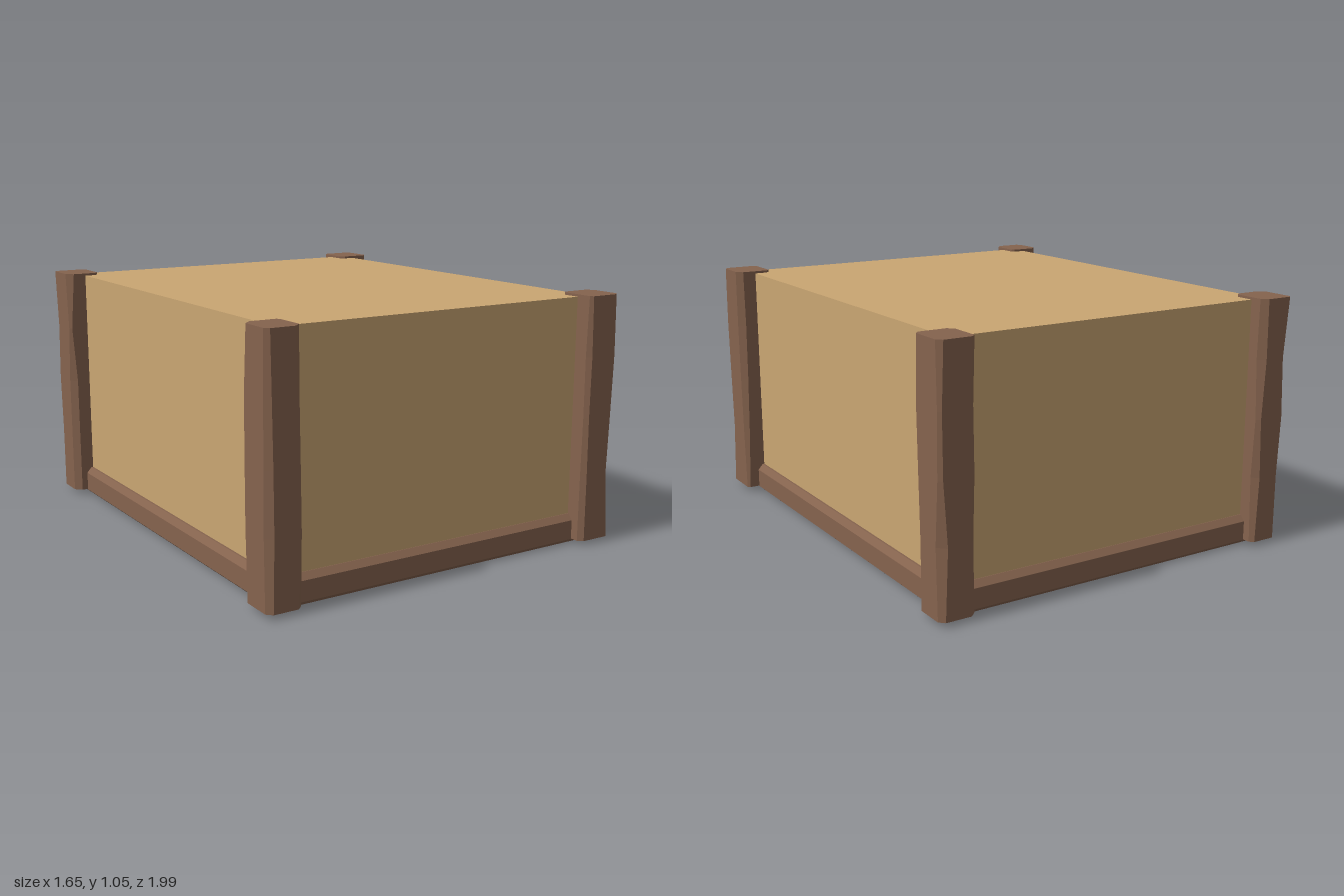
import * as THREE from 'three';

// Flat-shaded solid through stacked rings of [x, y, z] points, capped at both ends
function loft(rings) {
  const pos = [];
  const tri = (...pts) => pts.forEach((p) => pos.push(...p));
  const n = rings[0].length;
  const middle = (r) => [0, 1, 2].map((k) => r.reduce((s, p) => s + p[k], 0) / n);
  const first = rings[0], last = rings[rings.length - 1];
  const low = middle(first), high = middle(last);
  for (let j = 0; j < n; j++) {
    const k = (j + 1) % n;
    for (let i = 0; i < rings.length - 1; i++) {
      const a = rings[i], b = rings[i + 1];
      tri(a[j], b[j], a[k]);
      tri(a[k], b[j], b[k]);
    }
    tri(low, first[j], first[k]);
    tri(high, last[k], last[j]);
  }
  const g = new THREE.BufferGeometry();
  g.setAttribute('position', new THREE.Float32BufferAttribute(pos, 3));
  g.computeVertexNormals();
  return g;
}

// Rectangle with its four corners cut; cuts[i] is the cut at corner i
function cutRect(x0, x1, z0, z1, y, cuts) {
  const [a, b, c, d] = cuts;
  return [
    [x1, y, z1 - a], [x1 - a, y, z1], [x0 + b, y, z1], [x0, y, z1 - b],
    [x0, y, z0 + c], [x0 + c, y, z0], [x1 - d, y, z0], [x1, y, z0 + d],
  ];
}

export function createModel() {
  const group = new THREE.Group();
  const wood = new THREE.MeshStandardMaterial({ color: 0x85634e });
  wood.name = 'brown wood';
  const tan = new THREE.MeshStandardMaterial({ color: 0xcaa672 });
  tan.name = 'tan panel';
  const add = (name, geometry, material) => {
    const mesh = new THREE.Mesh(geometry, material);
    mesh.name = name;
    group.add(mesh);
    return mesh;
  };

  let seed = 11;
  const rand = () => (seed = (seed * 16807) % 2147483647) / 2147483647;

  // Main box
  const box = add('panelBox', new THREE.BoxGeometry(1.485, 0.98, 1.835), tan);
  box.position.set(-0.0025, 0.55, -0.0075);

  // Base frame: [height, inset] with worn upper and lower edges
  const base = [[0, 0.02], [0.018, 0], [0.1, 0], [0.125, 0.022]];
  add('baseFrame', loft(base.map(([y, s]) =>
    cutRect(-0.775 + s, 0.77 - s, -0.95 + s, 0.935 - s, y, [0.01, 0.01, 0.01, 0.01]))), wood);

  // Corner posts with unevenly hewn edges
  const posts = [
    ['frontLeftPost', 0.67, 0.825, 0.82, 0.99],
    ['frontRightPost', -0.83, -0.68, 0.82, 0.99],
    ['backRightPost', -0.83, -0.68, -1, -0.83],
    ['backLeftPost', 0.67, 0.825, -1, -0.83],
  ];
  for (const [name, x0, x1, z0, z1] of posts) {
    const rings = [0.02, 0.3, 0.55, 0.8, 1.05].map((y) =>
      cutRect(x0, x1, z0, z1, y, [0, 1, 2, 3].map(() => 0.01 + 0.022 * rand())));
    add(name, loft(rings), wood);
  }
  return group;
}
